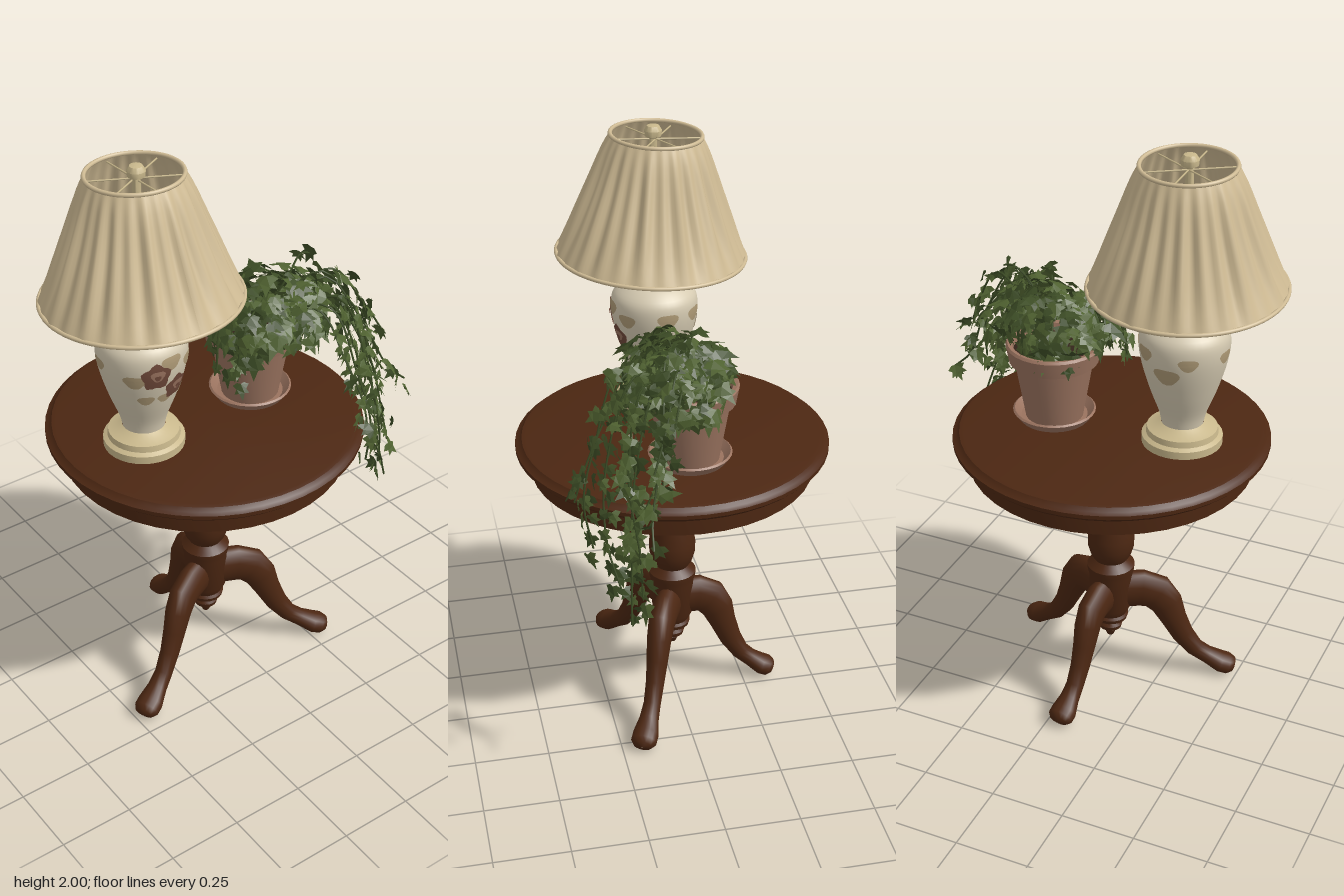
import * as THREE from 'three';
import { mergeGeometries, toCreasedNormals } from 'three/addons/utils/BufferGeometryUtils.js';

const mat = (name, color, side = THREE.FrontSide) => {
  const m = new THREE.MeshStandardMaterial({ color, side });
  m.name = name;
  return m;
};
const V = (x, y, z) => new THREE.Vector3(x, y, z);

let seed = 7;
const rnd = (a = 0, b = 1) => {
  seed = (seed * 16807) % 2147483647;
  return a + (b - a) * (seed / 2147483647);
};

export function createModel() {
  const root = new THREE.Group();
  const wood = mat('dark wood', 0x4c2712);
  const linen = mat('linen', 0xcfbb94, THREE.DoubleSide);
  const cream = mat('cream base', 0xc9b88c);
  const porcelain = mat('porcelain', 0xd6cbb2);
  const rose = mat('rose brown', 0x70493a, THREE.DoubleSide);
  const tan = mat('faded tan', 0xae9a76, THREE.DoubleSide);
  const clay = mat('terracotta', 0x9a735f);
  const soil = mat('soil', 0x33241a);
  const leafA = mat('leaf green', 0x4f6130, THREE.DoubleSide);
  const leafB = mat('deep leaf green', 0x3c4c25, THREE.DoubleSide);

  const add = (parent, name, geo, material) => {
    const m = new THREE.Mesh(geo, material);
    m.name = name;
    parent.add(m);
    return m;
  };
  const group = (name, x, y, z) => {
    const g = new THREE.Group();
    g.name = name;
    g.position.set(x, y, z);
    root.add(g);
    return g;
  };
  // Profiles run from bottom to top as [radius, height]
  const lathe = (pts, seg = 32) =>
    toCreasedNormals(new THREE.LatheGeometry(pts.map(p => new THREE.Vector2(p[0], p[1])), seg), 0.7);

  // ---- Table ----
  const table = group('table', -0.085, 0, 0);
  add(table, 'tableTop', lathe([[0, 0.962], [0.485, 0.962], [0.51, 0.968], [0.525, 0.982], [0.525, 0.995],
    [0.512, 1.001], [0.503, 1.013], [0.49, 1.016], [0, 1.016]], 48), wood);
  add(table, 'apron', lathe([[0, 0.895], [0.475, 0.895], [0.475, 0.965]], 40), wood);
  add(table, 'mountingPlate', lathe([[0.06, 0.875], [0.082, 0.88], [0.082, 0.896]], 20), clay);
  add(table, 'column', lathe([[0.055, 0.27], [0.07, 0.3], [0.075, 0.43], [0.08, 0.45], [0.082, 0.47], [0.066, 0.485],
    [0.058, 0.495], [0.07, 0.515], [0.08, 0.55], [0.08, 0.59], [0.07, 0.65], [0.058, 0.72], [0.052, 0.765],
    [0.064, 0.775], [0.066, 0.79], [0.056, 0.8], [0.066, 0.82], [0.073, 0.85], [0.072, 0.87], [0.06, 0.885]], 24), wood);
  add(table, 'dropFinial', lathe([[0, 0.163], [0.012, 0.17], [0.02, 0.19], [0.016, 0.197], [0.038, 0.205],
    [0.042, 0.22], [0.032, 0.235], [0.058, 0.248], [0.062, 0.262], [0.05, 0.28]], 20), wood);

  // Curved leg lofted from rounded sections: [reach, height, half thickness, half width]
  const legStations = [[0.02, 0.36, 0.07, 0.045], [0.11, 0.362, 0.07, 0.045], [0.16, 0.345, 0.067, 0.045], [0.195, 0.3, 0.058, 0.042],
    [0.222, 0.235, 0.046, 0.037], [0.256, 0.165, 0.039, 0.032], [0.3, 0.105, 0.032, 0.03], [0.345, 0.072, 0.03, 0.034],
    [0.39, 0.055, 0.036, 0.045], [0.42, 0.045, 0.035, 0.045], [0.438, 0.04, 0.026, 0.032], [0.444, 0.036, 0.002, 0.002]];
  const legGeometry = stretch => {
    const n = 16, pos = [], idx = [], S = legStations;
    S.forEach((s, i) => {
      const a = S[Math.max(i - 1, 0)], b = S[Math.min(i + 1, S.length - 1)];
      const dx = (b[0] - a[0]) * stretch, dy = b[1] - a[1], l = Math.hypot(dx, dy);
      for (let j = 0; j < n; j++) {
        const t = (j / n) * Math.PI * 2, c = Math.cos(t) * s[2], w = Math.sin(t) * s[3];
        pos.push(s[0] * stretch - (dy / l) * c, Math.max(0, s[1] + (dx / l) * c - (i > 7 ? 0.012 : 0)), w);
      }
    });
    for (let i = 0; i < S.length - 1; i++) for (let j = 0; j < n; j++) {
      const a = i * n + j, b = i * n + (j + 1) % n;
      idx.push(a, b, a + n, b, b + n, a + n);
    }
    const g = new THREE.BufferGeometry();
    g.setAttribute('position', new THREE.Float32BufferAttribute(pos, 3));
    g.setIndex(idx);
    // Make sure faces look outward
    const p = i => V().fromArray(pos, i * 3);
    const q = p(n), nrm = p(n + 1).sub(q).cross(p(2 * n).sub(q));
    if (nrm.y < 0) g.setIndex(idx.map((v, k) => idx[k - (k % 3) + 2 - (k % 3)]));
    g.computeVertexNormals();
    return g;
  };
  [[-0.44, 1], [Math.PI + 0.44, 1], [Math.PI / 2 - 0.1, 0.82]].forEach(([angle, stretch]) => {
    add(table, 'leg', legGeometry(stretch), wood).rotation.y = angle;
  });

  // ---- Lamp ----
  const lamp = group('lamp', -0.33, 0, 0.01);
  add(lamp, 'lampBase', lathe([[0, 1.014], [0.132, 1.014], [0.132, 1.042], [0.118, 1.05], [0.115, 1.07],
    [0.09, 1.078], [0.07, 1.09]], 32), cream);
  const vasePts = new THREE.SplineCurve([[0.068, 1.085], [0.078, 1.13], [0.108, 1.21], [0.135, 1.3], [0.146, 1.37],
    [0.138, 1.42], [0.1, 1.455], [0.06, 1.472], [0.055, 1.488], [0.072, 1.506], [0.068, 1.518]]
    .map(p => new THREE.Vector2(...p))).getPoints(40);
  add(lamp, 'vase', new THREE.LatheGeometry(vasePts, 40), porcelain);
  add(lamp, 'vaseCap', lathe([[0.07, 1.512], [0.06, 1.522], [0.03, 1.527], [0.032, 1.57], [0.018, 1.58], [0.013, 1.6],
    [0.013, 1.955], [0.027, 1.962], [0.029, 1.98], [0.02, 1.995], [0, 2]], 20), cream);

  // Painted flowers laid on the vase surface
  const vaseRadius = y => {
    const i = Math.max(1, vasePts.findIndex(p => p.y >= y)), a = vasePts[i - 1], b = vasePts[i];
    return a.x + (b.x - a.x) * (y - a.y) / (b.y - a.y);
  };
  const patch = (name, angle, y, sx, sy, material, lift, petals = 5) => {
    const g = new THREE.RingGeometry(0.0005, 1, 20, 4), p = g.attributes.position;
    for (let i = 0; i < p.count; i++) {
      const t = Math.atan2(p.getY(i), p.getX(i)), k = 1 + 0.13 * Math.sin(petals * t);
      const py = y + p.getY(i) * sy * k, r = vaseRadius(py), a = angle + p.getX(i) * sx * k / r;
      p.setXYZ(i, Math.sin(a) * (r + lift), py, Math.cos(a) * (r + lift));
    }
    g.computeVertexNormals();
    add(lamp, name, g, material);
  };
  [[-0.27, 1.345, 0.046], [0.3, 1.285, 0.042]].forEach(([a, y, s]) => {
    patch('rose', a, y, s, s, rose, 0.003);
    patch('rosePetal', a + 0.03, y + 0.006, s * 0.5, s * 0.42, clay, 0.005, 3);
    patch('roseHeart', a + 0.02, y, s * 0.22, s * 0.2, rose, 0.007, 3);
  });
  [[-0.75, 1.33, 0.03], [0.1, 1.385, 0.03], [0.02, 1.25, 0.022], [0.7, 1.36, 0.028], [0.75, 1.24, 0.02], [-0.5, 1.25, 0.022],
    [2.5, 1.37, 0.03], [3.1, 1.31, 0.036], [3.6, 1.36, 0.026], [-1.7, 1.36, 0.026], [1.7, 1.37, 0.03]]
    .forEach(([a, y, s]) => patch('paintedLeaf', a, y, s * 1.2, s * 0.8, tan, 0.002, 3));

  // Pleated shade, slightly tilted
  const shade = new THREE.Group();
  shade.name = 'lampShade';
  shade.position.y = 1.76;
  shade.rotation.x = -0.05;
  lamp.add(shade);
  const shadePts = new THREE.SplineCurve([[0.314, -0.2], [0.272, -0.11], [0.216, 0.03], [0.174, 0.15], [0.149, 0.205]]
    .map(p => new THREE.Vector2(...p))).getPoints(12);
  const pleats = new THREE.LatheGeometry(shadePts, 160), pp = pleats.attributes.position;
  for (let i = 0; i < pp.count; i++) {
    const x = pp.getX(i), z = pp.getZ(i), t = Math.atan2(x, z), v = (pp.getY(i) + 0.2) / 0.405;
    const amp = 0.008 * Math.sin(Math.PI * Math.min(1, v * 0.85 + 0.12));
    const k = 1 + amp / Math.hypot(x, z) * (Math.sin(26 * t) + 0.6 * Math.sin(15 * t + 1));
    pp.setX(i, x * k);
    pp.setZ(i, z * k);
  }
  pleats.computeVertexNormals();
  add(shade, 'pleats', pleats, linen);
  [[0.314, -0.2], [0.149, 0.205]].forEach(([r, y]) => {
    const rim = add(shade, 'shadeRim', new THREE.TorusGeometry(r, 0.007, 8, 64), linen);
    rim.rotation.x = Math.PI / 2;
    rim.position.y = y;
  });
  // Wire spider holding the shade
  for (let k = 0; k < 3; k++) {
    const arm = add(shade, 'shadeArm', new THREE.CylinderGeometry(0.003, 0.003, 0.296, 6), cream);
    arm.rotation.set(Math.PI / 2, 0, k * Math.PI / 3);
    arm.position.y = 0.19;
  }

  // ---- Pot ----
  const pot = group('flowerPot', 0.115, 0, -0.018);
  add(pot, 'saucer', lathe([[0, 1.014], [0.115, 1.014], [0.138, 1.045], [0.132, 1.05], [0.11, 1.025], [0, 1.025]], 28), clay);
  add(pot, 'potBody', lathe([[0, 1.026], [0.096, 1.026], [0.13, 1.225], [0.148, 1.23], [0.158, 1.285], [0.152, 1.293],
    [0.138, 1.29], [0.13, 1.24]], 28), clay);
  add(pot, 'soil', lathe([[0.138, 1.262], [0.08, 1.275], [0, 1.28]], 20), soil);

  // ---- Ivy ----
  const ivy = group('ivy', 0, 0, 0);
  const half = [[0.22, -0.06], [0.5, 0.08], [0.3, 0.34], [0.46, 0.62], [0.17, 0.62]];
  const outline = [[0, 0.04], ...half, [0, 1.08], ...half.map(([x, y]) => [-x, y]).reverse()];
  const leafBase = new THREE.ShapeGeometry(new THREE.Shape(outline.map(p => new THREE.Vector2(...p)))).toNonIndexed();
  const lp = leafBase.attributes.position;
  for (let i = 0; i < lp.count; i++) lp.setZ(i, -0.35 * Math.abs(lp.getX(i)) - 0.18 * lp.getY(i) ** 2);
  leafBase.computeVertexNormals();
  const leaves = [[], []], stems = [];
  const addLeaf = (at, normal, tip, size) => {
    const n = normal.clone().normalize();
    const y = tip.clone().addScaledVector(n, -tip.dot(n)).normalize();
    const m = new THREE.Matrix4().makeBasis(V().crossVectors(y, n), y, n).scale(V(size, size, size));
    m.setPosition(at);
    leaves[rnd() < 0.6 ? 0 : 1].push(leafBase.clone().applyMatrix4(m));
  };
  const jitter = s => V(rnd(-s, s), rnd(-s, s), rnd(-s, s));

  // Bushy crown
  const heart = V(0.14, 1.29, 0.03);
  for (let i = 0; i < 250; i++) {
    const a = i * 2.39996, up = rnd(-0.05, 1), flat = Math.sqrt(1 - up * up), f = rnd(0.62, 0.98);
    const dir = V(Math.cos(a) * flat, up, Math.sin(a) * flat);
    const at = V(dir.x * 0.235, dir.y * (0.19 + 0.03 * dir.x), dir.z * 0.2).multiplyScalar(f).add(heart);
    addLeaf(at, dir.clone().add(jitter(0.55)), V(dir.x, -0.5, dir.z).add(jitter(0.6)), rnd(0.05, 0.085));
  }

  // Trailing vines, each a path of points after the shared root
  const vines = [
    [[0.3, 1.47, 0.1], [0.45, 1.26, 0.14], [0.54, 1.06, 0.19], [0.61, 0.99, 0.2]],
    [[0.32, 1.45, 0.12], [0.42, 1.15, 0.22], [0.46, 0.85, 0.24], [0.5, 0.66, 0.25]],
    [[0.3, 1.42, 0.2], [0.36, 1.15, 0.3], [0.41, 0.92, 0.31], [0.45, 0.75, 0.27]],
    [[0.24, 1.42, 0.23], [0.29, 1.2, 0.32], [0.32, 1.02, 0.365], [0.33, 0.85, 0.34]],
    [[0.22, 1.4, 0.2], [0.26, 1.25, 0.29], [0.29, 1.1, 0.36], [0.29, 1.0, 0.39]],
    [[0.36, 1.45, 0.08], [0.46, 1.32, 0.13], [0.52, 1.2, 0.18]],
    [[0.02, 1.44, 0.05], [-0.07, 1.38, 0.07], [-0.1, 1.24, 0.09]],
    [[0.02, 1.42, 0.12], [-0.05, 1.34, 0.15], [-0.07, 1.22, 0.16]],
    [[0.34, 1.4, 0.18], [0.42, 1.15, 0.24], [0.5, 0.9, 0.22], [0.53, 0.78, 0.22]],
    [[0.35, 1.38, 0.06], [0.44, 1.22, 0.12], [0.48, 1.06, 0.2]],
    [[0.28, 1.4, 0.16], [0.35, 1.25, 0.22], [0.37, 1.07, 0.26]],
    [[0.22, 1.45, 0.04], [0.28, 1.51, 0.03], [0.32, 1.5, 0.04]],
  ];
  vines.forEach(path => {
    const curve = new THREE.CatmullRomCurve3([V(0.13, 1.28, 0), ...path.map(p => V(...p))]);
    stems.push(new THREE.TubeGeometry(curve, 24, 0.0035, 5));
    const count = Math.round(curve.getLength() / 0.034);
    for (let i = 4; i <= count; i++) {
      const t = i / count, at = curve.getPointAt(t).add(jitter(0.025));
      const out = V(at.x - heart.x, 0.12, at.z - heart.z).normalize();
      addLeaf(at, out.add(jitter(0.6)), V(0, -0.8, 0).add(jitter(0.8)), rnd(0.045, 0.075) * (1.1 - 0.25 * t));
    }
  });
  add(ivy, 'ivyLeaves', mergeGeometries(leaves[0]), leafA);
  add(ivy, 'ivyShadeLeaves', mergeGeometries(leaves[1]), leafB);
  add(ivy, 'ivyStems', mergeGeometries(stems), leafB);
  return root;
}
